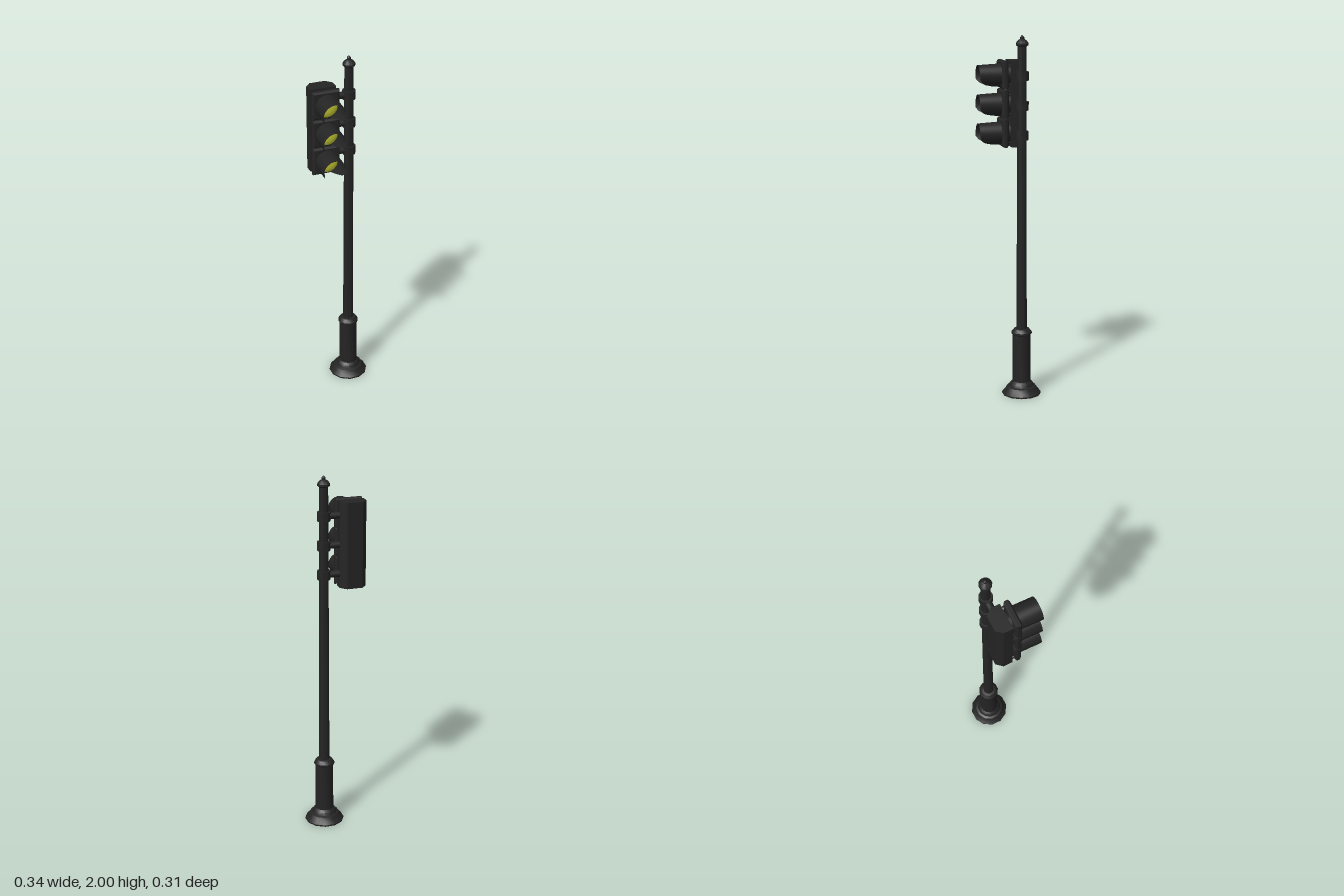
import * as THREE from 'three';
import { toCreasedNormals } from 'three/addons/utils/BufferGeometryUtils.js';

const dark = new THREE.MeshStandardMaterial({ color: 0x242424 });
const darkThin = new THREE.MeshStandardMaterial({ color: 0x242424, side: THREE.DoubleSide });
const yellow = new THREE.MeshStandardMaterial({ color: 0xd0d435 });

const POLE_X = 0.064, POLE_Z = -0.051, HEAD_X = -0.094;

function add(parent, name, geometry, x, y, z, material = dark) {
  const mesh = new THREE.Mesh(geometry, material);
  mesh.name = name;
  mesh.position.set(x, y, z);
  parent.add(mesh);
  return mesh;
}

// Twelve-sided turned part with crisp rims
function turned(profile) {
  const points = profile.map(([r, y]) => new THREE.Vector2(r, y));
  return toCreasedNormals(new THREE.LatheGeometry(points, 12, Math.PI / 12), 0.6);
}

// Hood: nearly a full ring at the door, cut back to an upper arch at the front
function visorGeometry(r) {
  const sections = [[0.03, -0.062], [0.06, -0.059], [0.09, -0.053], [0.125, -0.043], [0.143, -0.032], [0.157, -0.012]];
  const steps = 28, positions = [], index = [];
  sections.forEach(([z, low], i) => {
    const half = Math.acos(Math.max(-1, low / r));
    const drop = (z - 0.03) * 0.06;
    for (let j = 0; j <= steps; j++) {
      const a = half * (1 - 2 * j / steps);
      positions.push(r * Math.sin(a), r * Math.cos(a) - drop, z);
      if (i > 0 && j < steps) {
        const a0 = (i - 1) * (steps + 1) + j, b0 = a0 + steps + 1;
        index.push(a0, b0, a0 + 1, b0, b0 + 1, a0 + 1);
      }
    }
  });
  const g = new THREE.BufferGeometry();
  g.setAttribute('position', new THREE.Float32BufferAttribute(positions, 3));
  // Wind the hood so that its outside is the front
  for (let k = 0; k < index.length; k += 3) [index[k + 1], index[k + 2]] = [index[k + 2], index[k + 1]];
  g.setIndex(index);
  const normals = [];
  for (let k = 0; k < positions.length; k += 3) {
    const n = new THREE.Vector3(positions[k], positions[k + 1], 0).normalize();
    normals.push(n.x, n.y, n.z);
  }
  // Face order follows the outward normals
  const [p, q, s] = [0, 1, 2].map(k => new THREE.Vector3().fromArray(positions, index[k] * 3));
  const face = q.clone().sub(p).cross(s.clone().sub(p));
  if (face.dot(new THREE.Vector3().fromArray(normals, 0)) < 0) g.setIndex(index.reverse());
  g.setAttribute('normal', new THREE.Float32BufferAttribute(normals, 3));
  return g;
}

// Bevelled lamp door
function doorGeometry(w, h) {
  const b = 0.009, x = w / 2 - b, y = h / 2 - b;
  const shape = new THREE.Shape([[-x, -y], [x, -y], [x, y], [-x, y]].map(p => new THREE.Vector2(...p)));
  const g = new THREE.ExtrudeGeometry(shape, {
    depth: 0.017, bevelEnabled: true, bevelSize: b, bevelThickness: b, bevelSegments: 1,
  });
  g.translate(0, 0, b);
  return g;
}

export function createModel() {
  const model = new THREE.Group();
  model.name = 'trafficLight';

  // Post
  const post = new THREE.Group();
  post.name = 'post';
  post.position.set(POLE_X, 0, POLE_Z);
  model.add(post);
  add(post, 'base', turned([[0, 0], [0.109, 0], [0.109, 0.008], [0.092, 0.025], [0.083, 0.042],
    [0.07, 0.047], [0.064, 0.063], [0.05, 0.075]]), 0, 0, 0);
  add(post, 'sleeve', turned([[0.051, 0.07], [0.05, 0.347]]), 0, 0, 0);
  add(post, 'collar', turned([[0.05, 0.345], [0.057, 0.35], [0.057, 0.36], [0.043, 0.378], [0.028, 0.381]]), 0, 0, 0);
  add(post, 'pole', turned([[0.029, 0.37], [0.024, 1.95]]), 0, 0, 0);
  add(post, 'finial', turned([[0.023, 1.937], [0.034, 1.946], [0.034, 1.956], [0.024, 1.97],
    [0.011, 1.978], [0.011, 1.988], [0, 2]]), 0, 0, 0);

  // Signal head: housing with chamfered back corners
  const head = new THREE.Group();
  head.name = 'signalHead';
  head.position.x = HEAD_X;
  model.add(head);
  const outline = new THREE.Shape([[-0.073, 0.016], [0.073, 0.016], [0.073, 0.068], [0.043, 0.102],
    [-0.043, 0.102], [-0.073, 0.068]].map(p => new THREE.Vector2(...p)));
  const housing = new THREE.ExtrudeGeometry(outline, { depth: 0.47, bevelEnabled: false });
  housing.rotateX(-Math.PI / 2);
  add(head, 'housing', housing, 0, 1.385, 0);

  const door = doorGeometry(0.152, 0.152);
  const visor = visorGeometry(0.0635);
  const lens = new THREE.SphereGeometry(0.061, 28, 8, 0, Math.PI * 2, 0, Math.PI / 2);
  lens.rotateX(Math.PI / 2).scale(1, 1, 0.35);
  const lampBack = new THREE.CylinderGeometry(0.058, 0.058, 0.03, 24).rotateX(Math.PI / 2);
  const pin = new THREE.CylinderGeometry(0.004, 0.004, 0.03, 8).rotateX(Math.PI / 2);
  const clamp = turned([[0.024, -0.024], [0.036, -0.024], [0.036, 0.024], [0.024, 0.024]]);
  const arm = new THREE.CylinderGeometry(0.019, 0.019, 0.1, 12).rotateZ(Math.PI / 2);

  // Three lamps, each with a bracket to the pole
  for (let i = 0; i < 3; i++) {
    const lamp = new THREE.Group();
    lamp.name = 'lamp' + (i + 1);
    lamp.position.y = 1.779 - i * 0.159;
    head.add(lamp);
    add(lamp, 'door', door, 0, 0, 0);
    add(lamp, 'lampBack', lampBack, 0, 0, -0.006);
    add(lamp, 'lens', lens, 0.001, -0.006, 0.034, yellow);
    add(lamp, 'visor', visor, 0.001, -0.004, 0, darkThin);
    for (const sx of [-1, 1])
      for (const sy of [-1, 1]) add(lamp, 'hingePin', pin, sx * 0.062, sy * 0.05, -0.006);

    const y = 1.782 - i * 0.16;
    add(model, 'clamp', clamp, POLE_X, y, POLE_Z);
    add(model, 'bracketArm', arm, 0.015, y, POLE_Z);
  }
  return model;
}
